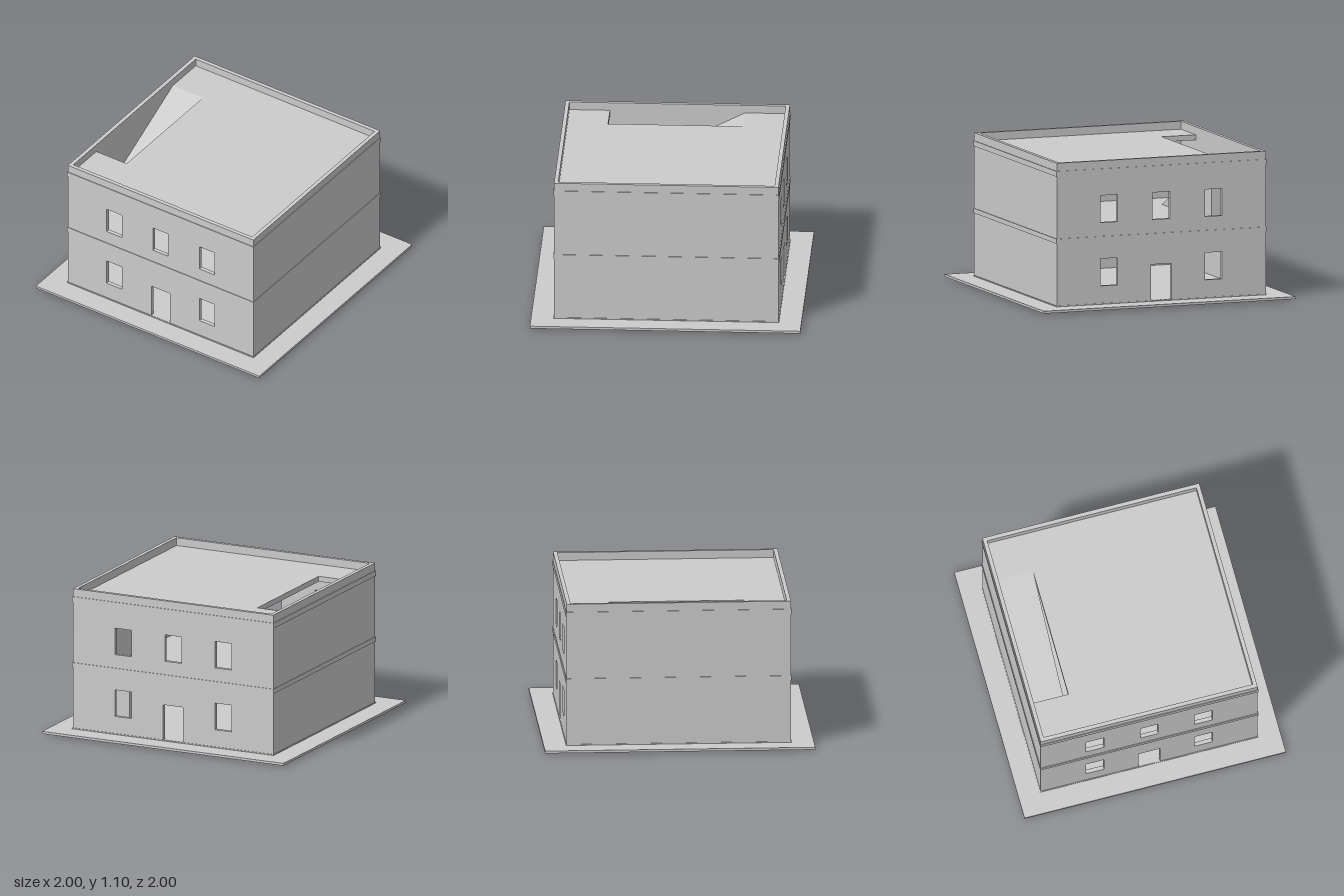
import * as THREE from 'three';

const OUT = 0.83, WALL = 0.03, IN = OUT - WALL;
const TOP = 1.1;
const LEVELS = [[0, 0.035], [0.5, 0.535], [1.0, 1.04]]; // bottom and top of each slab
const STAIR_W = 0.27, STAIR_Z = 0.5;

export function createModel() {
  const model = new THREE.Group();
  const material = new THREE.MeshStandardMaterial({ color: 0xcccccc, flatShading: true });

  const add = (name, geometry, x = 0, y = 0, z = 0) => {
    const mesh = new THREE.Mesh(geometry, material);
    mesh.name = name;
    mesh.position.set(x, y, z);
    model.add(mesh);
    return mesh;
  };

  // Trace a rectangle on a Shape or Path
  const rect = (path, x0, y0, x1, y1) => {
    path.moveTo(x0, y0);
    path.lineTo(x1, y0);
    path.lineTo(x1, y1);
    path.lineTo(x0, y1);
    path.closePath();
    return path;
  };
  const extrude = (shape, depth) =>
    new THREE.ExtrudeGeometry(shape, { depth, bevelEnabled: false });

  // Ground plate around the building
  add('groundPlate', new THREE.BoxGeometry(2, 0.018, 2), 0, 0.019, 0);

  // Floor slabs, projecting slightly past the walls; side gives the stair opening
  const slab = (name, [y0, y1], side) => {
    const e = 0.835;
    const shape = rect(new THREE.Shape(), -e, -e, e, e);
    if (side) {
      const inner = side * (IN - STAIR_W), outer = side * IN;
      shape.holes.push(rect(new THREE.Path(),
        Math.min(inner, outer), -STAIR_Z, Math.max(inner, outer), STAIR_Z));
    }
    add(name, extrude(shape, y1 - y0).rotateX(-Math.PI / 2), 0, y0, 0);
  };
  slab('groundFloor', LEVELS[0], 0);
  slab('upperFloor', LEVELS[1], 1);
  slab('roof', LEVELS[2], -1);

  // Front and back walls with a door and five windows
  const facade = rect(new THREE.Shape(), -OUT, 0.03, OUT, TOP);
  const opening = (x, width, y0, y1) => facade.holes.push(
    rect(new THREE.Path(), x - width / 2, y0, x + width / 2, y1));
  opening(0, 0.165, 0.036, 0.303);
  for (const x of [-0.415, 0.415]) opening(x, 0.137, 0.165, 0.368);
  for (const x of [-0.415, 0, 0.415]) opening(x, 0.137, 0.638, 0.84);
  const facadeGeometry = extrude(facade, WALL);
  add('frontWall', facadeGeometry, 0, 0, IN);
  add('backWall', facadeGeometry, 0, 0, -OUT);

  // Solid side walls
  const sideGeometry = new THREE.BoxGeometry(WALL, TOP - 0.03, 2 * IN);
  for (const [name, s] of [['leftWall', 1], ['rightWall', -1]])
    add(name, sideGeometry, s * (OUT - WALL / 2), (TOP + 0.03) / 2, 0);

  // Ramps rising towards the back, one per storey on alternating sides
  const ramp = (name, y0, y1, side) => {
    const shape = new THREE.Shape();
    shape.moveTo(STAIR_Z, y0);
    shape.lineTo(-STAIR_Z, y1);
    shape.lineTo(-STAIR_Z, y0);
    shape.closePath();
    const geometry = extrude(shape, STAIR_W).rotateY(-Math.PI / 2);
    add(name, geometry, side * (IN - STAIR_W / 2) + STAIR_W / 2, 0, 0);
  };
  ramp('lowerRamp', LEVELS[0][1], LEVELS[1][1], 1);
  ramp('upperRamp', LEVELS[1][1], LEVELS[2][1], -1);

  return model;
}
